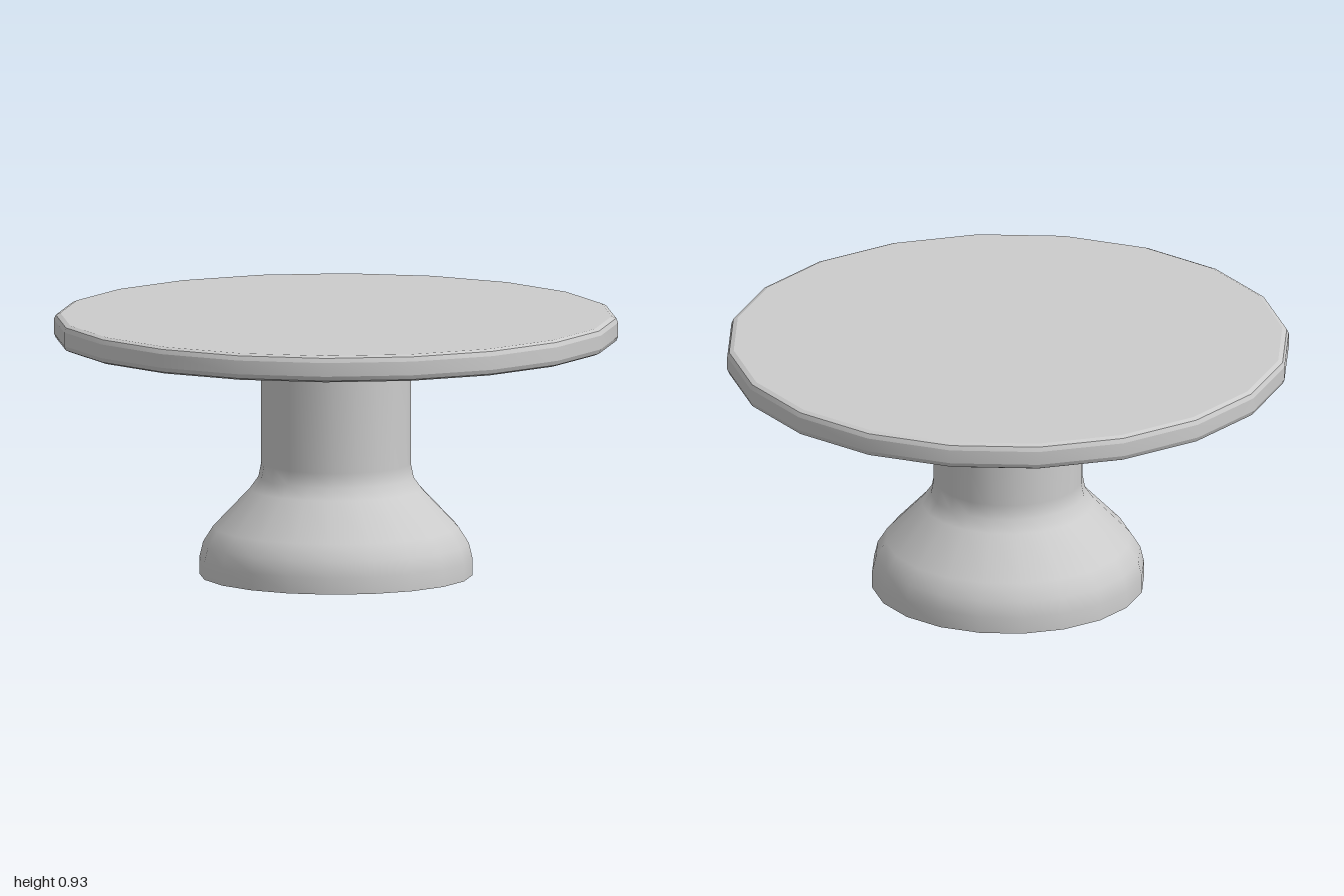
import * as THREE from 'three';
import { toCreasedNormals } from 'three/addons/utils/BufferGeometryUtils.js';

const SIDES = 20;

const lathe = (profile) =>
  new THREE.LatheGeometry(profile.map(([r, y]) => new THREE.Vector2(r, y)), SIDES);

export function createModel() {
  const group = new THREE.Group();
  group.name = 'pedestalTable';

  const add = (name, geometry, side = THREE.FrontSide) => {
    const mesh = new THREE.Mesh(geometry, new THREE.MeshStandardMaterial({ color: 0xcccccc, side }));
    mesh.name = name;
    group.add(mesh);
  };

  // Flat disc with a small bevel around both rims
  const top = lathe([
    [0, 0.835], [0.977, 0.835], [0.993, 0.842], [1, 0.858],
    [1, 0.907], [0.993, 0.923], [0.977, 0.93], [0, 0.93],
  ]);
  add('tableTop', toCreasedNormals(top, 0.35));

  // Hollow, thin foot flowing into a straight column, open underneath
  const pedestal = lathe([
    [0.484, 0], [0.484, 0.06], [0.471, 0.115], [0.435, 0.172],
    [0.305, 0.308], [0.275, 0.35], [0.265, 0.4], [0.265, 0.835],
  ]);
  add('pedestal', pedestal, THREE.DoubleSide);

  return group;
}
